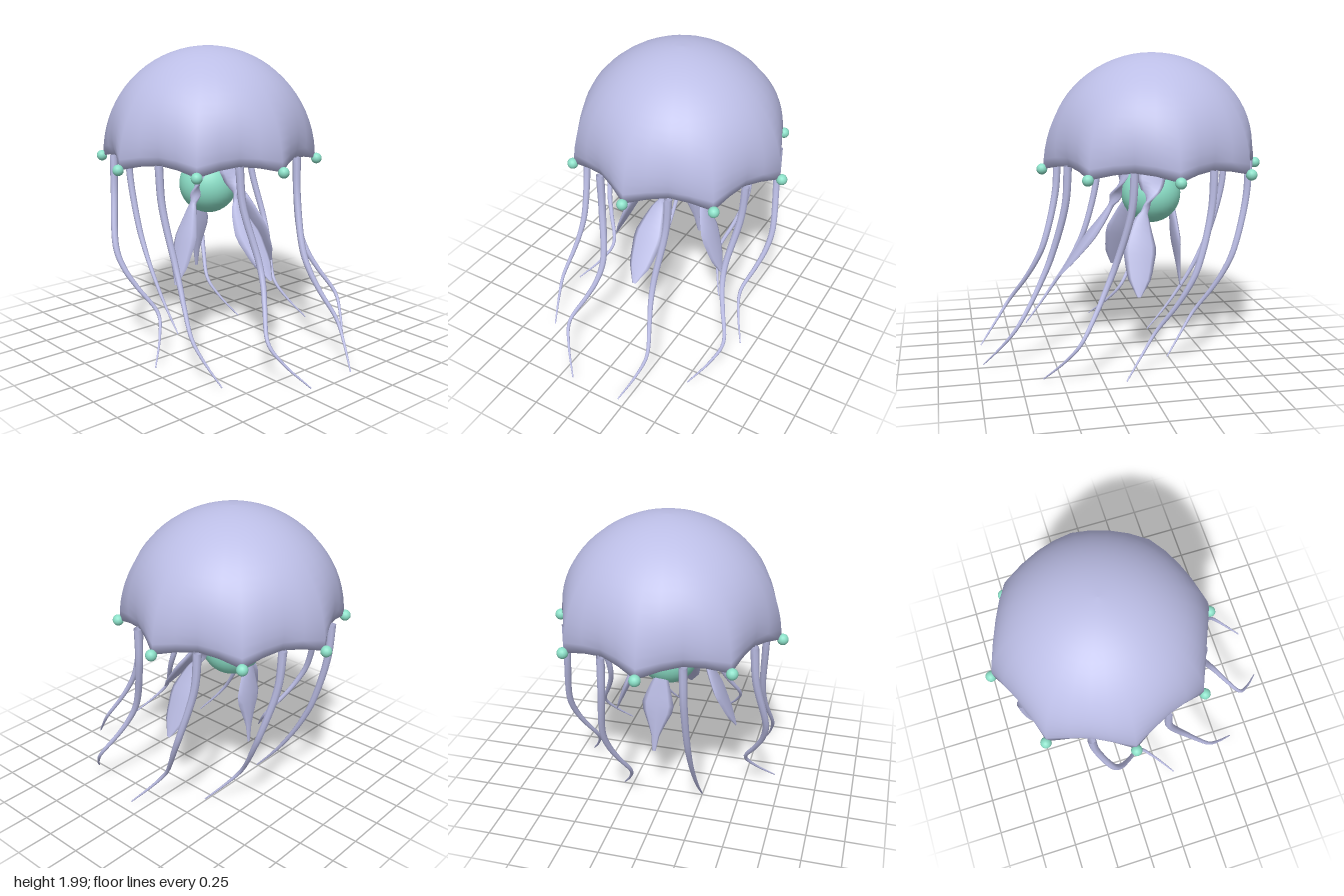
import * as THREE from 'three';

const CZ = -0.2; // the bell axis sits behind the origin, the tentacles trail forward
const bellLavender = new THREE.MeshStandardMaterial({ color: 0xbcbee6, side: THREE.DoubleSide });
const rimPurple = new THREE.MeshStandardMaterial({ color: 0x8076be, side: THREE.DoubleSide });
const mint = new THREE.MeshStandardMaterial({ color: 0x8ce0c8 });
bellLavender.name = 'lavender';
rimPurple.name = 'purple';
mint.name = 'mint';

// Surface of closed loops: fn(u, angle) gives a point, u runs 0..1 along the loops
function loops(fn, rows, sides) {
  const pos = [], idx = [];
  for (let i = 0; i <= rows; i++)
    for (let j = 0; j < sides; j++) pos.push(...fn(i / rows, (j / sides) * Math.PI * 2).toArray());
  for (let i = 0; i < rows; i++)
    for (let j = 0; j < sides; j++) {
      const k = (j + 1) % sides;
      const a = i * sides + j, b = a + sides, c = (i + 1) * sides + k, d = i * sides + k;
      idx.push(a, b, c, a, c, d);
    }
  const g = new THREE.BufferGeometry();
  g.setAttribute('position', new THREE.Float32BufferAttribute(pos, 3));
  g.setIndex(idx);
  g.computeVertexNormals();
  return g;
}

// Elliptical section swept along a curve; width, thick and twist are functions of u
function sweep(curve, across, width, thick, twist, rows, sides) {
  return loops((u, a) => {
    const D = curve.getTangent(u);
    const N = D.clone().cross(across).normalize();
    const W = N.clone().cross(D).applyAxisAngle(D, twist(u));
    N.applyAxisAngle(D, twist(u));
    return curve.getPoint(u)
      .addScaledVector(W, Math.sin(a) * width(u))
      .addScaledVector(N, Math.cos(a) * thick(u));
  }, rows, sides);
}

// Linear interpolation through [u, value] pairs
function ramp(keys) {
  return (u) => {
    let i = 0;
    while (i < keys.length - 2 && u > keys[i + 1][0]) i++;
    return THREE.MathUtils.mapLinear(u, keys[i][0], keys[i + 1][0], keys[i][1], keys[i + 1][1]);
  };
}

const polar = (r, y, a) => new THREE.Vector3(r * Math.sin(a), y, CZ + r * Math.cos(a));

// Dome pulled in between eight pointed lobes, with a lip that curls under
function bellPoint(u, a) {
  const dip = Math.abs(Math.sin(4 * a));
  const pull = Math.max(0, (u - 0.5) / 0.5) ** 1.5;
  const curl = Math.max(0, (u - 0.88) / 0.12) ** 2;
  const p = u * Math.PI / 2;
  return polar(0.725 * Math.sin(p) - dip * (0.078 * pull + 0.012 * curl),
    1.25 + 0.75 * Math.cos(p) + 0.045 * dip * pull, a);
}

export function createModel() {
  const model = new THREE.Group();
  model.name = 'jellyfish';
  const add = (name, geometry, material, parent = model) => {
    const m = new THREE.Mesh(geometry, material);
    m.name = name;
    parent.add(m);
    return m;
  };
  const group = (name) => {
    const g = new THREE.Group();
    g.name = name;
    model.add(g);
    return g;
  };

  // Bell: outer dome running smoothly over the lip into the purple inner rim
  const ROWS = 18, RIM = 2, SIDES = 32;
  const bellGeo = loops((u, a) => {
    const row = u * (ROWS + RIM);
    return row <= ROWS + 1e-6 ? bellPoint(row / ROWS, a)
      : bellPoint(1, a).lerp(polar(0.53, 1.36, a), (row - ROWS) / RIM);
  }, ROWS + RIM, SIDES);
  bellGeo.addGroup(0, ROWS * SIDES * 6, 0);
  bellGeo.addGroup(ROWS * SIDES * 6, RIM * SIDES * 6, 1);
  add('bell', bellGeo, [bellLavender, rimPurple]);

  // Nearly flat ceiling inside the bell
  add('bellCeiling', loops((u, a) => {
    const p = u * Math.PI / 2;
    return polar(0.53 * Math.cos(p), 1.36 + 0.04 * Math.sin(p), a);
  }, 6, SIDES), bellLavender);

  // Central body
  add('core', new THREE.SphereGeometry(0.2, 32, 20), mint).position.set(0, 1.065, CZ);

  // Beads on the lobe tips
  const beads = group('rimBeads');
  const beadGeo = new THREE.SphereGeometry(0.036, 16, 12);
  for (let k = 0; k < 8; k++)
    add('rimBead', beadGeo, mint, beads).position.copy(polar(0.735, 1.25, k * Math.PI / 4));

  // Tentacles: drift forward and sway sideways, each by its own amount
  const tentacles = group('tentacles');
  const sway = [-0.044, -0.068, 0.055, 0.053, 0, -0.083, 0.028, 0.072];
  const wave = [[1.3, 0], [1.05, 0.2], [0.7, 0.92], [0.56, 0.65], [0.44, 0], [0.27, -1], [0.15, -0.3], [0.01, 1.2]];
  const across = new THREE.Vector3(1, 0, 0);
  sway.forEach((amp, k) => {
    const s = polar(0.65, 0, (k + 0.5) * Math.PI / 4);
    const curve = new THREE.CatmullRomCurve3(wave.map(([y, w]) =>
      new THREE.Vector3(s.x + amp * w, y, s.z + 0.56 * ((1.3 - y) / 1.29) ** 2.1)));
    const r = (u) => 0.004 + 0.023 * (1 - u) ** 0.8;
    add('tentacle', sweep(curve, across, r, r, () => 0, 40, 8), bellLavender, tentacles);
  });

  // Oral arms: twisted ribbons ending in leaf-shaped blades [angle, blade end width, start, bend, tip]
  const arms = group('oralArms');
  const thick = ramp([[0, 0.008], [0.4, 0.016], [0.65, 0.02], [0.8, 0.024], [1, 0.004]]);
  const twist = (u) => Math.PI * THREE.MathUtils.smoothstep(u, 0.22, 0.62);
  [
    [0, 0.08, [0, 1.36, -0.09], [0, 0.93, 0.11], [0, 0.52, 0.43]],
    [Math.PI / 2, 0.08, [0.11, 1.36, -0.17], [0.25, 0.92, -0.08], [0.43, 0.47, -0.02]],
    [Math.PI, 0.03, [0, 1.36, -0.3], [0.01, 0.93, -0.35], [0.05, 0.42, -0.4]],
    [-Math.PI / 2, 0.08, [-0.11, 1.36, -0.17], [-0.25, 0.92, -0.08], [-0.43, 0.47, -0.02]],
  ].forEach(([a, end, ...pts]) => {
    const side = new THREE.Vector3(Math.cos(a), 0, -Math.sin(a));
    const [start, bend, tip] = pts.map((p) => new THREE.Vector3(...p));
    const neck = start.clone().lerp(bend, 0.6).addScaledVector(side, 0.035);
    const curve = new THREE.CatmullRomCurve3([start, neck, bend, tip]);
    // The blade starts near the bend, two thirds of the way along
    const width = ramp([[0, 0.02], [0.1, 0.07], [0.22, 0.095], [0.36, 0.05], [0.56, 0.022],
      [0.68, 0.06], [0.8, 0.112], [0.92, end], [1, 0.012]]);
    add('oralArm', sweep(curve, side, width, thick, twist, 28, 8), bellLavender, arms);
  });

  return model;
}
